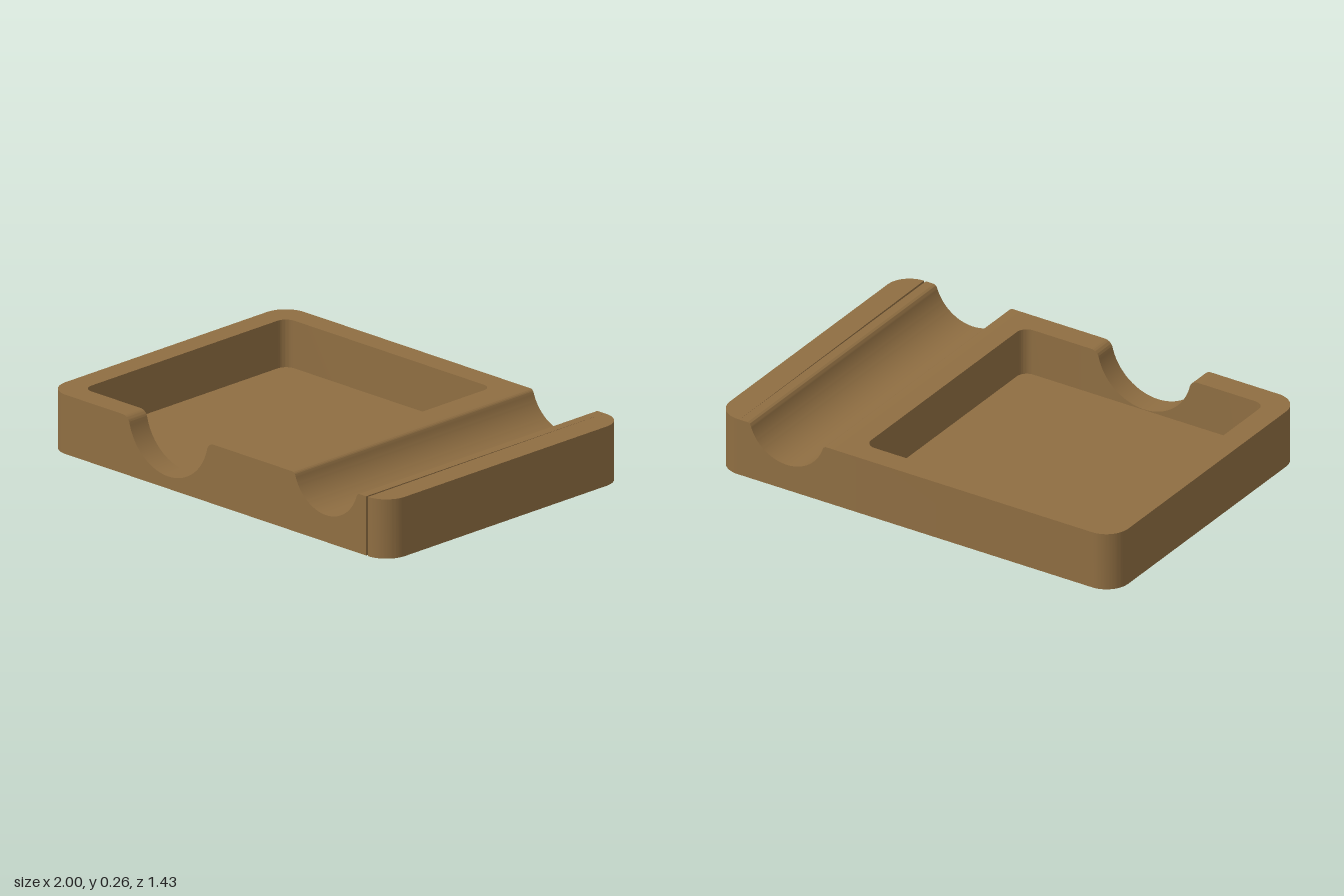
import * as THREE from 'three';
import { toCreasedNormals } from 'three/addons/utils/BufferGeometryUtils.js';

const H = 0.265;              // overall height
const D = 0.713, R = 0.11;    // outer half depth and corner radius
const FLOOR = 0.052;
const CX = -0.286, C = 0.607, r = 0.05; // square pocket: centre, half size, corner radius

export function createModel() {
  const group = new THREE.Group();
  group.name = 'deskTray';
  const wood = new THREE.MeshStandardMaterial({ color: 0x8f6e42 });
  wood.name = 'warm brown';

  const add = (name, geometry) => {
    const mesh = new THREE.Mesh(toCreasedNormals(geometry, 0.5), wood);
    mesh.name = name;
    group.add(mesh);
  };

  // Plan outline (y points to the back) raised to the full height
  const raise = (shape) => {
    const g = new THREE.ExtrudeGeometry(shape, { depth: H, bevelEnabled: false, curveSegments: 16 });
    return g.rotateX(-Math.PI / 2);
  };

  // Block from x0 to x1 and z0 to z1, with a round scoop whose lips are filleted
  const scooped = (x0, x1, z0, z1, cx, cy, rad, fillet) => {
    const dx = Math.sqrt((rad + fillet) ** 2 - (cy - H + fillet) ** 2);
    const a = Math.atan2(cy - H + fillet, dx); // angle of the tangent point
    const s = new THREE.Shape();
    s.moveTo(x0, 0);
    s.lineTo(x1, 0);
    s.lineTo(x1, H);
    s.lineTo(cx + dx, H);
    s.absarc(cx + dx, H - fillet, fillet, Math.PI / 2, Math.PI - a, false);
    s.absarc(cx, cy, rad, -a, Math.PI + a, true);
    s.absarc(cx - dx, H - fillet, fillet, a, Math.PI / 2, false);
    s.lineTo(x0, H);
    const g = new THREE.ExtrudeGeometry(s, { depth: z1 - z0, bevelEnabled: false, curveSegments: 28 });
    return g.translate(0, 0, z0);
  };

  // Walls round the pocket, open at the front for the thumb notch
  const gapL = -0.6, gapR = 0.03, wallEnd = 0.4;
  const left = CX - C, right = CX + C;
  const w = new THREE.Shape();
  w.moveTo(gapR, -D);
  w.lineTo(wallEnd, -D);
  w.lineTo(wallEnd, D);
  w.absarc(-1 + R, D - R, R, Math.PI / 2, Math.PI, false);
  w.absarc(-1 + R, -D + R, R, Math.PI, Math.PI * 1.5, false);
  w.lineTo(gapL, -D);
  w.lineTo(gapL, -C);
  w.absarc(left + r, -C + r, r, Math.PI * 1.5, Math.PI, true);
  w.absarc(left + r, C - r, r, Math.PI, Math.PI / 2, true);
  w.absarc(right - r, C - r, r, Math.PI / 2, 0, true);
  w.absarc(right - r, -C + r, r, 0, -Math.PI / 2, true);
  w.lineTo(gapR, -C);
  w.closePath();
  add('pocketWalls', raise(w));

  // Front wall section with the thumb notch
  add('thumbNotch', scooped(gapL, gapR, C, D, CX, 0.29, 0.235, 0.04));

  // Pocket floor
  add('pocketFloor', new THREE.BoxGeometry(2 * C, FLOOR, 2 * C).translate(CX, FLOOR / 2, 0));

  // Pen groove running from front to back
  const railStart = 0.88;
  add('penGroove', scooped(wallEnd, railStart, -D, D, 0.643, 0.31, 0.19, 0.02));

  // Side rail with rounded outer corners
  const e = new THREE.Shape();
  e.moveTo(railStart, -D);
  e.absarc(1 - R, -D + R, R, -Math.PI / 2, 0, false);
  e.absarc(1 - R, D - R, R, 0, Math.PI / 2, false);
  e.lineTo(railStart, D);
  e.closePath();
  add('sideRail', raise(e));

  return group;
}
